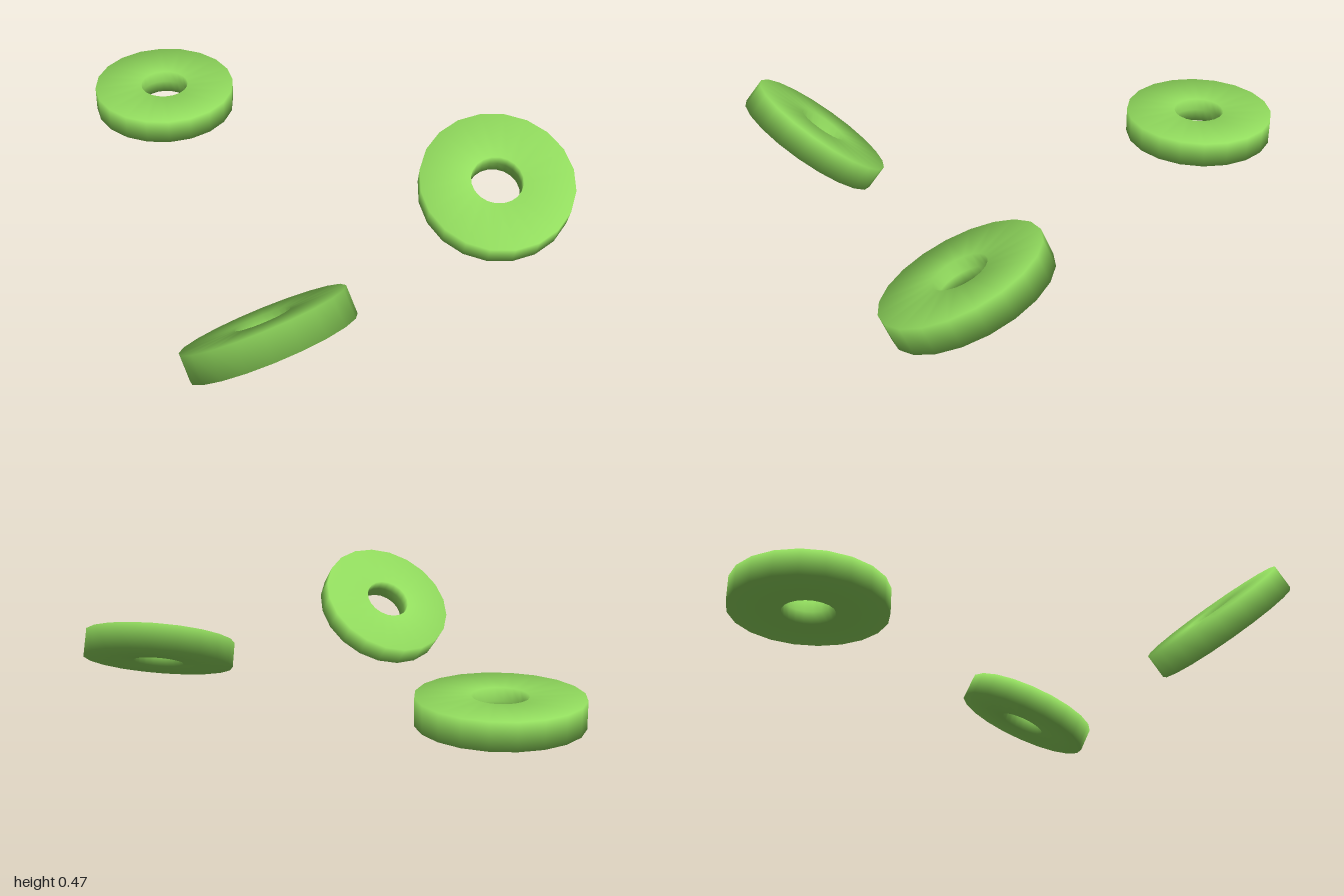
import * as THREE from 'three';

export function createModel() {
  const group = new THREE.Group();
  const material = new THREE.MeshStandardMaterial({ color: 0x92dc5e });

  // Square-sectioned ring with softly shaded edges, wound from the inner wall
  // down, out, up and back in
  const profile = [[0.1, 0], [0.1, -0.05], [0.296, -0.05], [0.296, 0.05], [0.1, 0.05], [0.1, 0]]
    .map(([r, y]) => new THREE.Vector2(r, y));
  const ring = new THREE.LatheGeometry(profile, 20);

  // Each ring: name, centre and the direction of its axis
  const rings = [
    ['backRing', [0.105, 0.196, -0.705], [0, 1, 0]],
    ['frontRightRing', [-0.6, 0.236, 0.69], [0.1, 0.745, -0.66]],
    ['frontLeftRing', [0.596, 0.222, 0.7], [-0.32, 0.905, 0.28]],
  ];
  const up = new THREE.Vector3(0, 1, 0);
  for (const [name, centre, axis] of rings) {
    const mesh = new THREE.Mesh(ring, material);
    mesh.name = name;
    mesh.position.set(...centre);
    mesh.quaternion.setFromUnitVectors(up, new THREE.Vector3(...axis).normalize());
    group.add(mesh);
  }
  return group;
}
